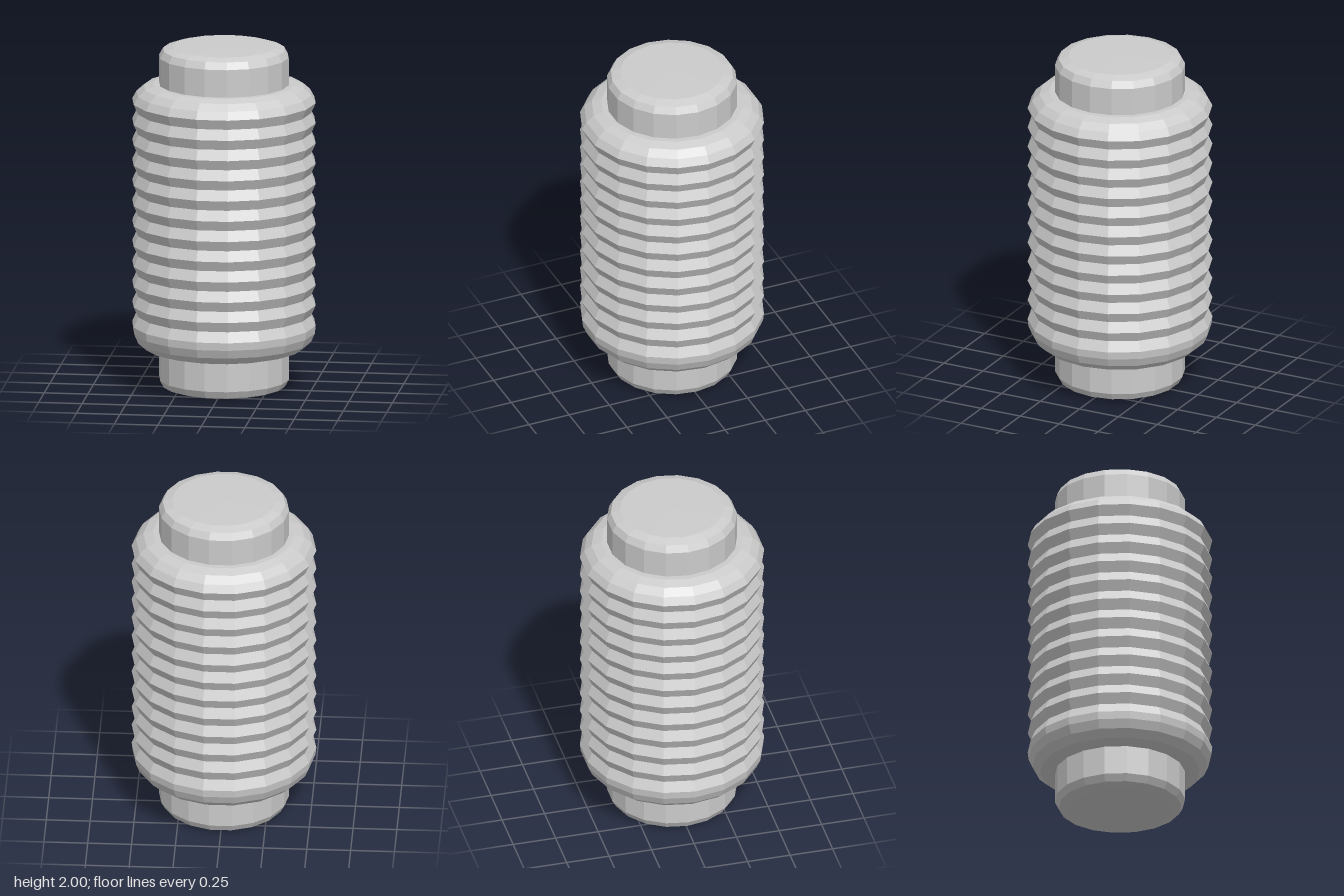
import * as THREE from 'three';

const SIDES = 18;

export function createModel() {
  const group = new THREE.Group();
  const material = new THREE.MeshStandardMaterial({ color: 0xcccccc, flatShading: true });

  // Faceted turned part; profile runs bottom to top as [radius, y]
  const turned = (name, profile) => {
    const points = profile.map(([r, y]) => new THREE.Vector2(r, y));
    const mesh = new THREE.Mesh(new THREE.LatheGeometry(points, SIDES, Math.PI / 2), material);
    mesh.name = name;
    group.add(mesh);
  };

  // End plugs with softened rims
  const bottom = [[0, 0], [0.295, 0.003], [0.35, 0.02], [0.372, 0.06], [0.372, 0.24]];
  turned('bottomPlug', bottom);
  turned('topPlug', bottom.map(([r, y]) => [r, 2 - y]).reverse());

  // Ribbed body: rounded lower shoulder, zigzag ridges, rounded upper shoulder
  const ridges = 11, low = 0.38, high = 1.68;
  const step = (high - low) / ridges;
  const body = [[0.3, 0.23], [0.4, 0.23], [0.455, 0.245], [0.5, 0.285], [0.522, 0.335]];
  for (let i = 0; i <= ridges; i++) {
    body.push([0.527, low + i * step]);
    if (i < ridges) body.push([0.5, low + (i + 0.5) * step]);
  }
  body.push([0.502, 1.725], [0.46, 1.762], [0.405, 1.78], [0.3, 1.78]);
  turned('ribbedBody', body);

  return group;
}
